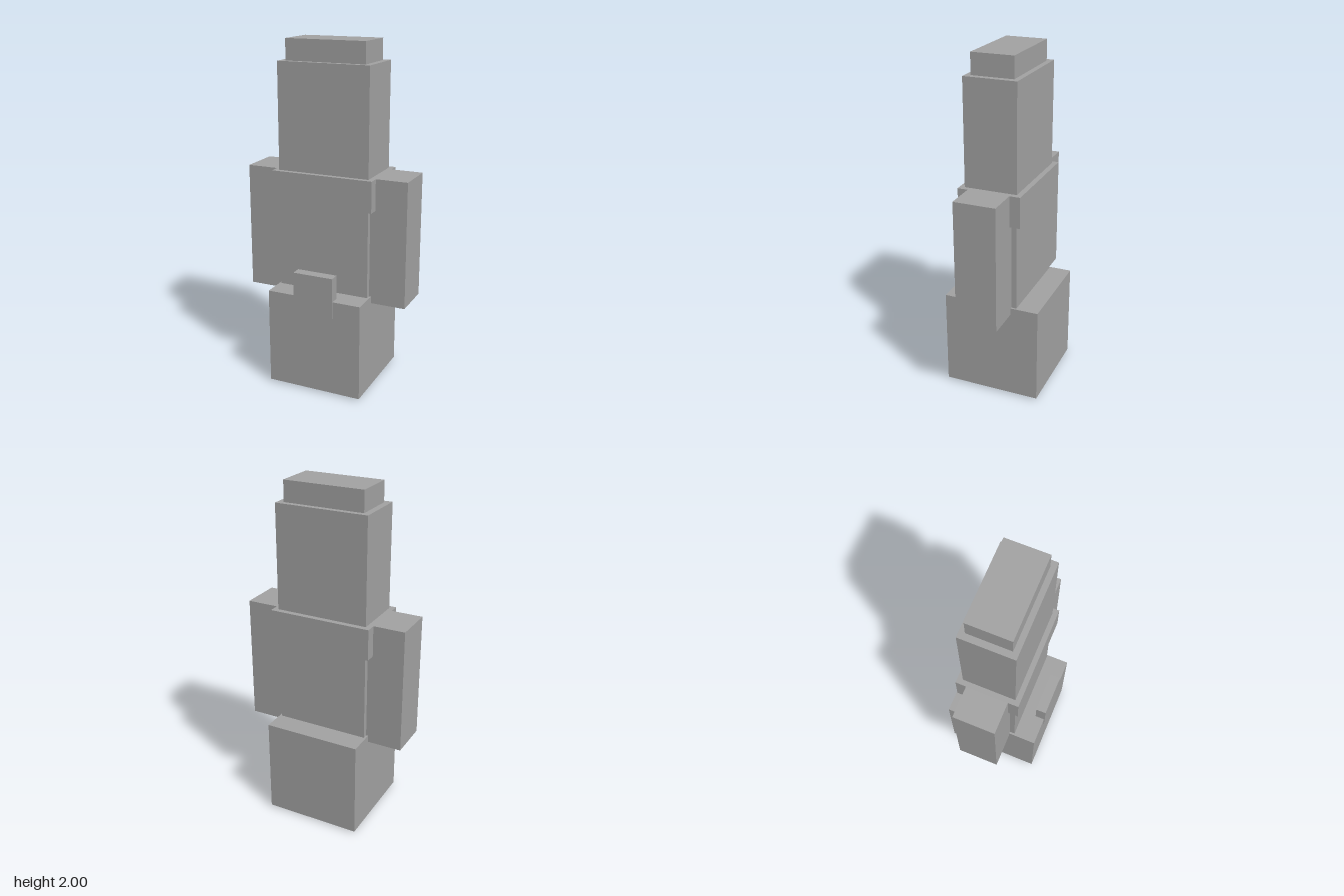
import * as THREE from 'three';

export function createModel() {
  const model = new THREE.Group();
  model.name = 'blockFigure';
  const grey = new THREE.MeshStandardMaterial({ color: 0xa3a3a3 });
  grey.name = 'stone grey';

  // Box given by its [min, max] extents along each axis
  function block(name, [x0, x1], [y0, y1], [z0, z1]) {
    const mesh = new THREE.Mesh(new THREE.BoxGeometry(x1 - x0, y1 - y0, z1 - z0), grey);
    mesh.position.set((x0 + x1) / 2, (y0 + y1) / 2, (z0 + z1) / 2);
    mesh.name = name;
    model.add(mesh);
  }

  // Base cube with a shallow foot plate and a raised tab on its front
  block('footPlate', [-0.242, 0.242], [0, 0.02], [-0.245, 0.242]);
  block('baseCube', [-0.285, 0.285], [0.01, 0.58], [-0.288, 0.283]);
  block('frontTab', [-0.12, 0.12], [0.48, 0.72], [0.228, 0.288]);

  // Tall body, belt around its middle and cap on top
  block('body', [-0.273, 0.273], [0.54, 1.88], [-0.156, 0.149]);
  block('belt', [-0.303, 0.303], [1.09, 1.27], [-0.187, 0.178]);
  block('cap', [-0.237, 0.237], [1.87, 2], [-0.125, 0.118]);

  // Arms, mirrored left and right
  block('leftArm', [0.265, 0.487], [0.54, 1.27], [-0.125, 0.118]);
  block('rightArm', [-0.487, -0.265], [0.54, 1.27], [-0.125, 0.118]);

  return model;
}
